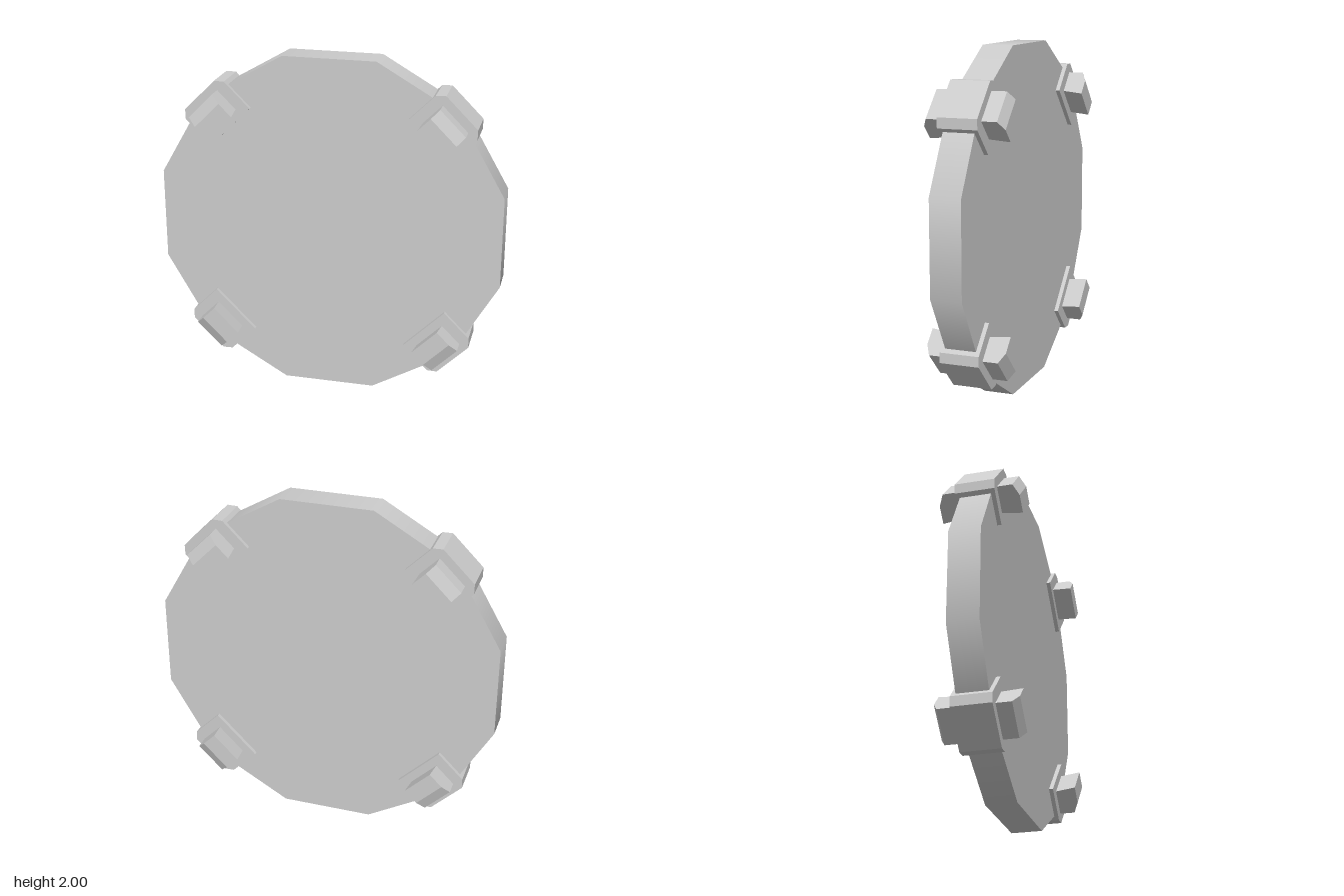
import * as THREE from 'three';

const material = new THREE.MeshStandardMaterial({ color: 0xcccccc });

// Extrudes a closed outline, centred on its own depth
function prism(points, depth) {
  const shape = new THREE.Shape(points.map(([x, y]) => new THREE.Vector2(x, y)));
  const geometry = new THREE.ExtrudeGeometry(shape, { depth, bevelEnabled: false });
  return geometry.translate(0, 0, -depth / 2);
}

function addMesh(parent, name, geometry) {
  const mesh = new THREE.Mesh(geometry, material);
  mesh.name = name;
  parent.add(mesh);
}

// One clamp; local x points outward from the disc centre
function createClamp() {
  const clamp = new THREE.Group();

  // Block gripping the rim, with its two outer corners cut off
  const block = [
    [0.81, -0.167], [1.018, -0.167], [1.06, -0.127],
    [1.06, 0.127], [1.018, 0.167], [0.81, 0.167],
  ];
  addMesh(clamp, 'clampBlock', prism(block, 0.226));

  // Wedge-topped lug on each face; profile is outward distance by height
  const lug = [[0.862, 0.1], [1.01, 0.1], [1.01, 0.2], [0.946, 0.23], [0.845, 0.23]];
  for (const side of [1, -1]) {
    const geometry = prism(lug, 0.204).rotateX(side * Math.PI / 2);
    addMesh(clamp, side > 0 ? 'frontLug' : 'backLug', geometry);
  }
  return clamp;
}

export function createModel() {
  const model = new THREE.Group();
  model.name = 'clampedDisc';

  // Twelve-sided disc standing on one flat, smooth around the rim
  const disc = new THREE.CylinderGeometry(1.0353, 1.0353, 0.178, 12, 1, false, Math.PI / 12);
  disc.rotateX(Math.PI / 2).translate(0, 1, 0);
  addMesh(model, 'disc', disc);

  // Four clamps on the diagonals
  const names = ['upperLeftClamp', 'upperRightClamp', 'lowerRightClamp', 'lowerLeftClamp'];
  names.forEach((name, i) => {
    const clamp = createClamp();
    clamp.name = name;
    clamp.position.y = 1;
    clamp.rotation.z = Math.PI / 4 + i * Math.PI / 2;
    model.add(clamp);
  });
  return model;
}
